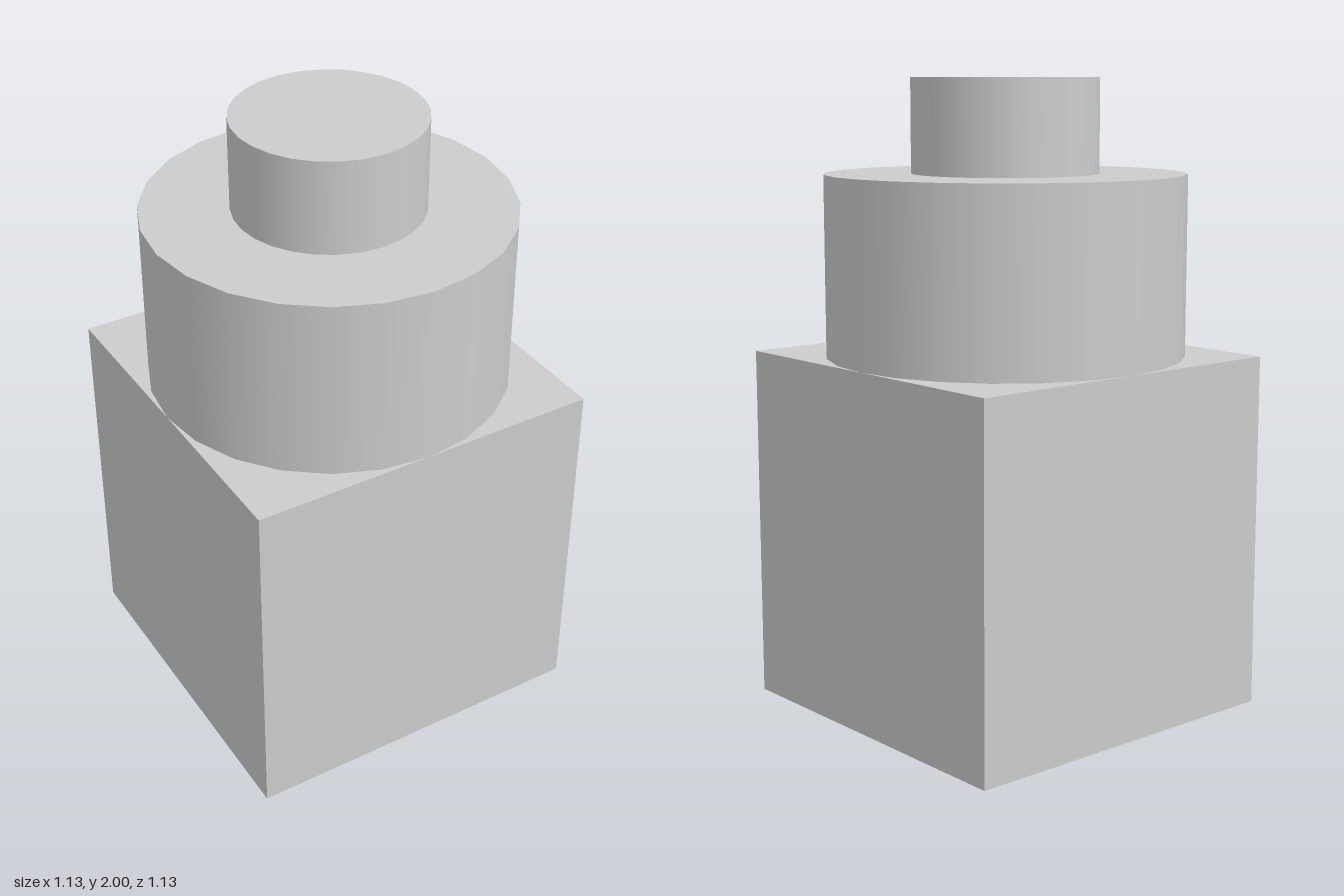
import * as THREE from 'three';

// Stacked solids: cube base, wide drum, narrow knob
export function createModel() {
  const group = new THREE.Group();
  const material = new THREE.MeshStandardMaterial({ color: 0xcccccc });
  const add = (name, geometry, bottom, height) => {
    const mesh = new THREE.Mesh(geometry, material);
    mesh.name = name;
    mesh.position.y = bottom + height / 2;
    group.add(mesh);
  };

  const side = 1.135, drumHeight = 0.57, knobHeight = 0.295;
  const drumTop = side + drumHeight;

  add('base', new THREE.BoxGeometry(side, side, side), 0, side);
  add('drum', new THREE.CylinderGeometry(side / 2, side / 2, drumHeight, 24), side, drumHeight);
  add('knob', new THREE.CylinderGeometry(0.294, 0.294, knobHeight, 28), drumTop, knobHeight);
  return group;
}
